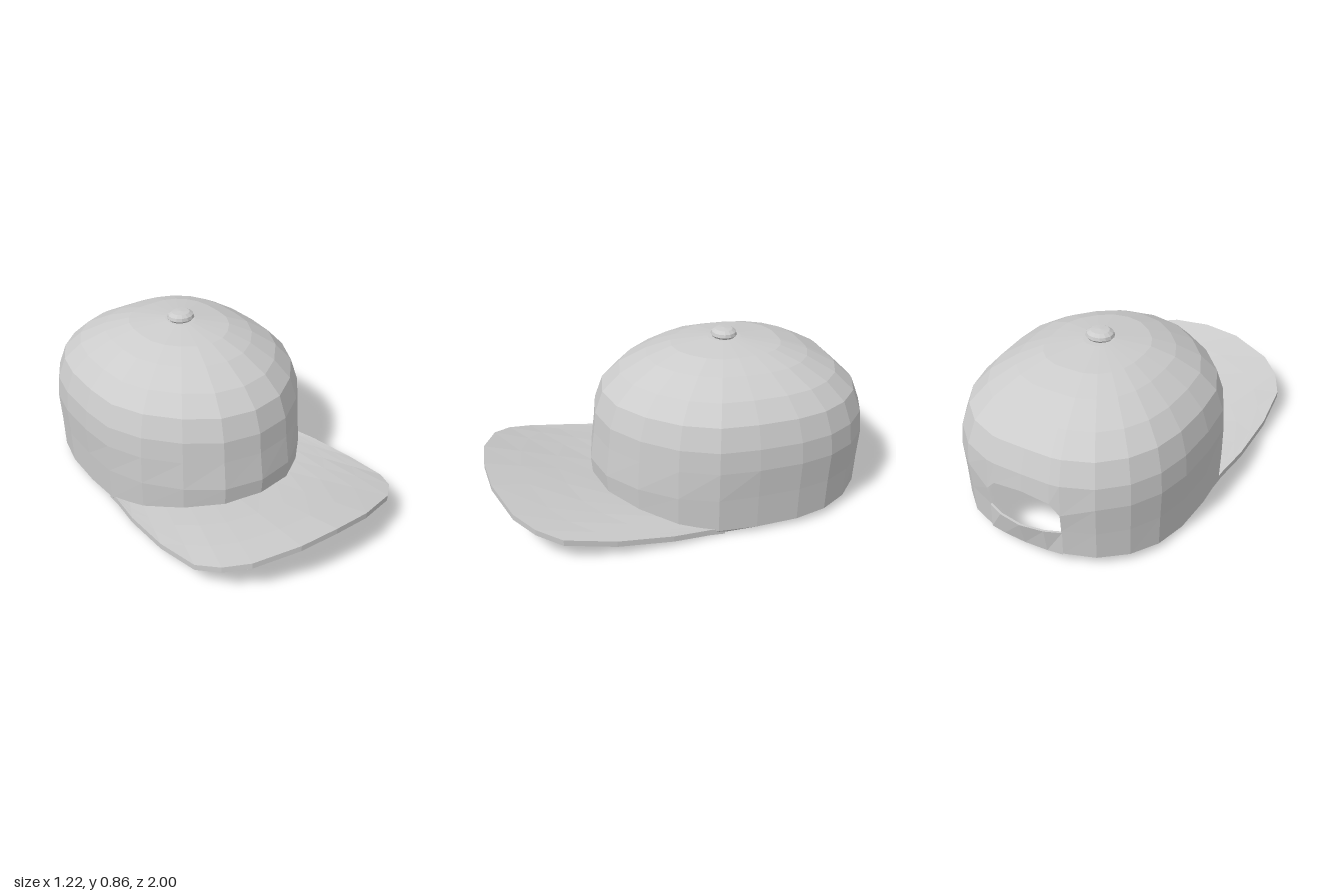
import * as THREE from 'three';

const CZ = -0.26; // centre of the crown along z
const THICK = 0.03; // brim thickness

// Half outline of the crown at its widest: [x, z from crown centre], front to back
const half = [
  [0, 0.71], [0.2, 0.67], [0.37, 0.55], [0.51, 0.385], [0.59, 0.2], [0.6, 0],
  [0.59, -0.22], [0.55, -0.39], [0.47, -0.53], [0.35, -0.64], [0.2, -0.7], [0.15, -0.708], [0, -0.71],
];
const outline = [...half, ...half.slice(0, -1).reverse().map(([x, z]) => [-x, z])];

// Crown rings from rim to top: [height (null = rim curve), scale]
const rings = [
  [null, 0.975], [0.2, 0.985], [0.35, 1], [0.46, 0.985], [0.575, 0.925],
  [0.665, 0.79], [0.74, 0.59], [0.785, 0.4], [0.81, 0.12], [0.813, 0.001],
];

// Height of the crown's lower edge
const rimY = (x, z) => (z > -0.07
  ? 0.115 + 0.05 * (z - 0.45) - 0.19 * x * x
  : 0.022 + 0.038 * Math.pow((-0.06 - z) / 0.9, 3));

function addMesh(group, name, geometry) {
  const mesh = new THREE.Mesh(geometry, new THREE.MeshStandardMaterial({
    color: 0xcccccc, flatShading: true, side: THREE.DoubleSide,
  }));
  mesh.name = name;
  group.add(mesh);
  return mesh;
}

// Surface through rows of points; skip(i, j) leaves out a cell
function gridGeometry(rows, skip = () => false) {
  const n = rows[0].length;
  const index = [];
  for (let j = 0; j < rows.length - 1; j++) {
    for (let i = 0; i < n - 1; i++) {
      if (skip(i, j)) continue;
      const a = j * n + i, b = a + 1, c = b + n, d = a + n;
      index.push(a, b, c, a, c, d);
    }
  }
  const g = new THREE.BufferGeometry();
  g.setAttribute('position', new THREE.Float32BufferAttribute(rows.flat(2), 3));
  g.setIndex(index);
  g.computeVertexNormals();
  return g;
}

// One ring of the crown; the front is a little steeper than the rest
function crownRing([y, s], j) {
  return outline.map(([ox, oz]) => {
    const k = s + Math.max(0, oz / 0.71) * (j < 2 ? 0.02 : -0.025 * s);
    const x = ox * k, z = CZ + oz * k;
    let h = y ?? rimY(x, z);
    // arch over the rear opening
    if (j === 2 && oz < -0.69) h = ox === 0 ? 0.37 : Math.abs(ox) < 0.18 ? 0.355 : 0.3;
    return [x, h, z];
  });
}

const atOpening = (i) => [i, i + 1].every((k) => outline[k][1] < -0.69);

function brimGeometry() {
  // Matching points along the crown [x, z] and along the outer edge [x, z, y]
  const inner = [
    [0, 0.44], [0.12, 0.42], [0.24, 0.375], [0.34, 0.3], [0.43, 0.21],
    [0.5, 0.11], [0.535, 0.04], [0.55, -0.03], [0.565, -0.1],
  ];
  const outer = [
    [0, 1, 0.253], [0.2, 0.985, 0.24], [0.42, 0.91, 0.197], [0.525, 0.82, 0.162], [0.59, 0.7, 0.124],
    [0.612, 0.45, 0.085], [0.602, 0.17, 0.055], [0.575, -0.02, 0.038], [0.57, -0.1, 0.028],
  ];
  const mirror = (p) => [...p.slice(1).reverse().map(([x, ...rest]) => [-x, ...rest]), ...p];
  const a = mirror(inner.map(([x, z]) => [x, z, rimY(x, z)])), b = mirror(outer);
  const row = (t, drop) => a.map((p, i) => {
    const [x, z, y] = p.map((v, k) => v + (b[i][k] - v) * t);
    return [x, Math.max(0, y - drop), z];
  });
  const steps = [0, 0.33, 0.67, 1];
  const under = steps.map((t) => row(t, THICK));
  const over = steps.map((t) => row(t, 0)).reverse();
  return gridGeometry([...under, ...over, under[0]]);
}

function strapGeometry() {
  const xs = [0.2, 0.12, 0, -0.12, -0.2];
  const row = (y, bulge, offset) =>
    xs.map((x) => [x, y, -0.948 - bulge * (1 - (x / 0.2) ** 2) + offset]);
  const lower = row(0.058, 0.017, 0);
  return gridGeometry([lower, row(0.19, 0.052, 0), row(0.19, 0.052, 0.012), row(0.058, 0.017, 0.012), lower]);
}

export function createModel() {
  const group = new THREE.Group();
  group.name = 'cap';

  // Hollow crown with the rear opening
  const crown = rings.map(crownRing);
  addMesh(group, 'crown', gridGeometry(crown, (i, j) => j < 2 && atOpening(i)));

  // Turned-in lower edge, as deep as the brim at the front
  const inset = ([x, y, z], rise) => [x * 0.97, Math.max(0.004, y + rise), CZ + (z - CZ) * 0.97];
  addMesh(group, 'innerBand', gridGeometry([
    crown[0].map((p) => inset(p, 0.02)),
    crown[0].map((p) => inset(p, p[2] > -0.1 ? -THICK : -0.01)),
    crown[0],
  ], (i) => atOpening(i)));

  addMesh(group, 'brim', brimGeometry());
  addMesh(group, 'backStrap', strapGeometry());

  // Button on top
  const profile = [[0, -0.02], [0.06, -0.018], [0.073, -0.004], [0.068, 0.012], [0.048, 0.025], [0, 0.029]];
  const button = new THREE.LatheGeometry(profile.map(([x, y]) => new THREE.Vector2(x, y)), 14);
  addMesh(group, 'topButton', button.scale(1, 1, 0.92)).position.set(0, 0.826, CZ);

  return group;
}
